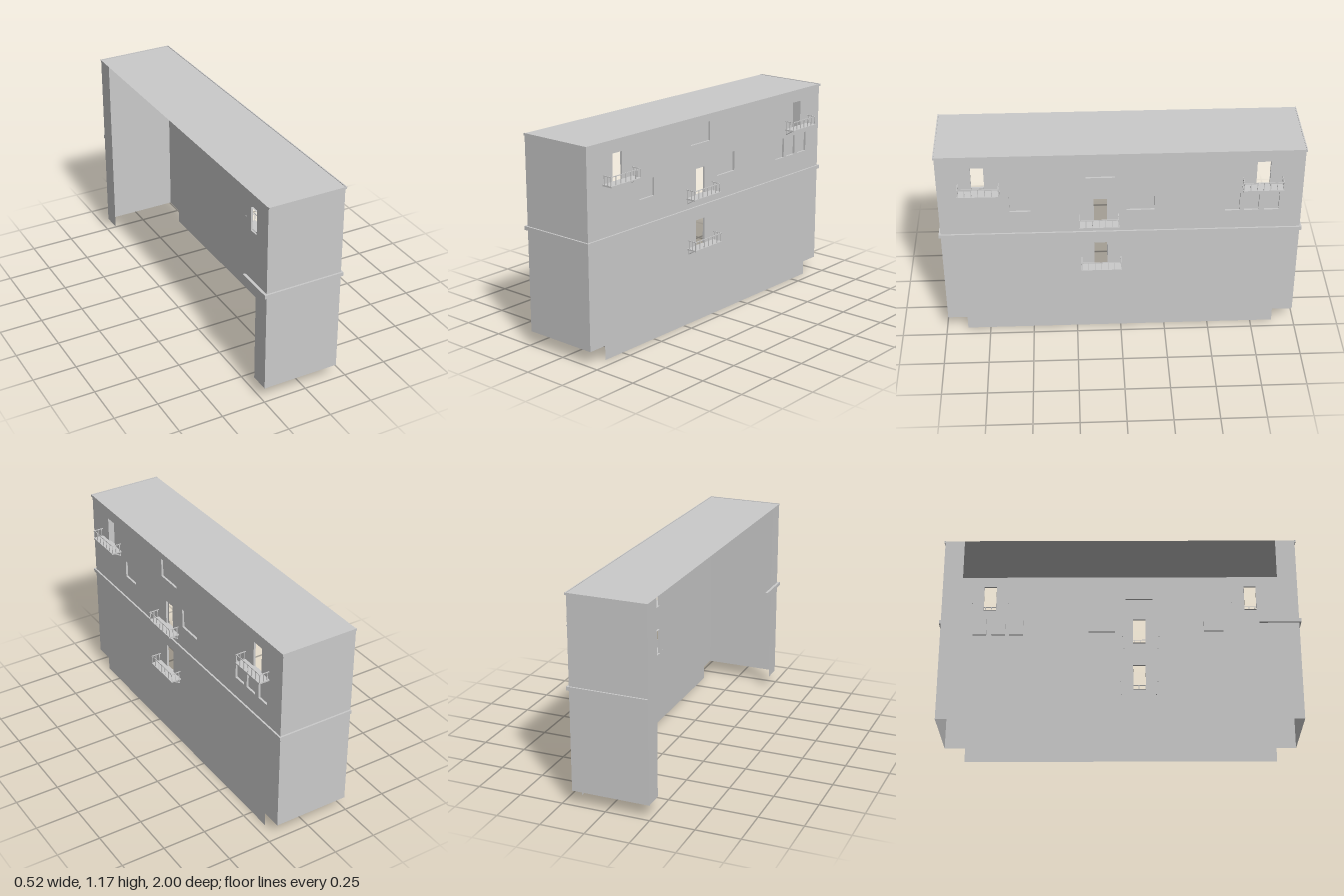
import * as THREE from 'three';

const WALL_X = 0.195, BACK_X = -0.245, END_Z = 0.99, BASE_Y = 0.08, TOP_Y = 1.17;
const mat = new THREE.MeshStandardMaterial({ color: 0xcccccc, side: THREE.DoubleSide, flatShading: true });

function add(parent, name, geometry) {
  const mesh = new THREE.Mesh(geometry, mat);
  mesh.name = name;
  parent.add(mesh);
  return mesh;
}

// Box given by its limits on each axis
function box(parent, name, x0, x1, y0, y1, z0, z1) {
  const mesh = add(parent, name, new THREE.BoxGeometry(x1 - x0, y1 - y0, z1 - z0));
  mesh.position.set((x0 + x1) / 2, (y0 + y1) / 2, (z0 + z1) / 2);
  return mesh;
}

// Thin bar between two points
function bar(parent, name, a, b, t) {
  const p = new THREE.Vector3(...a), q = new THREE.Vector3(...b);
  const mesh = add(parent, name, new THREE.BoxGeometry(t, t, p.distanceTo(q)));
  mesh.position.copy(p).lerp(q, 0.5);
  mesh.lookAt(q);
}

// Openings as [z0, z1, y0, y1]
const doors = [
  [0.733, 0.803, 0.95, 1.1],
  [0.075, 0.147, 0.735, 0.883],
  [0.075, 0.147, 0.44, 0.59],
  [-0.806, -0.733, 0.95, 1.1],
];
const windows = [
  [0.49, 0.605, 0.81, 0.91],
  [0.03, 0.19, 1.02, 1.128],
  [-0.185, -0.03, 0.805, 0.918],
  [-0.65, -0.57, 0.787, 0.902],
  [-0.755, -0.675, 0.787, 0.902],
  [-0.865, -0.785, 0.787, 0.902],
];

function facade(parent) {
  // Outline with notched lower corners; shape x is -z
  const outline = [
    [-END_Z, BASE_Y], [-0.88, BASE_Y], [-0.88, 0], [0.875, 0],
    [0.875, BASE_Y], [END_Z, BASE_Y], [END_Z, TOP_Y], [-END_Z, TOP_Y],
  ];
  const shape = new THREE.Shape(outline.map(([u, y]) => new THREE.Vector2(u, y)));
  for (const [z0, z1, y0, y1] of [...doors, ...windows]) {
    shape.holes.push(new THREE.Path([
      new THREE.Vector2(-z1, y0), new THREE.Vector2(-z1, y1),
      new THREE.Vector2(-z0, y1), new THREE.Vector2(-z0, y0),
    ]));
  }
  add(parent, 'facade', new THREE.ShapeGeometry(shape).rotateY(Math.PI / 2)).position.x = WALL_X;

  // Recesses: boxes without the outer face, doors without the inner face too
  const recess = (name, [z0, z1, y0, y1], skip) => {
    const mesh = box(parent, name, WALL_X - 0.012, WALL_X, y0, y1, z0, z1);
    mesh.geometry.setIndex([...mesh.geometry.index.array].slice(skip));
  };
  doors.forEach((d) => recess('doorReveal', d, 12));
  windows.forEach((w) => recess('windowRecess', w, 6));
}

function shell(parent) {
  const height = TOP_Y - BASE_Y, midY = (TOP_Y + BASE_Y) / 2;
  const width = WALL_X - BACK_X, midX = (WALL_X + BACK_X) / 2;
  for (const s of [1, -1]) {
    const turn = s > 0 ? 0 : Math.PI;
    add(parent, 'endWall', new THREE.PlaneGeometry(width, height).rotateY(turn))
      .position.set(midX, midY, s * END_Z);
    add(parent, 'backReturn', new THREE.PlaneGeometry(0.11, height).rotateY(-Math.PI / 2))
      .position.set(BACK_X, midY, s * (END_Z - 0.055));
  }
  add(parent, 'roof', new THREE.PlaneGeometry(width, 2 * END_Z).rotateX(-Math.PI / 2))
    .position.set(midX, TOP_Y, 0);
}

function trims(parent) {
  // Cornice around the roof edge
  const c0 = 1.16, c1 = 1.173, co = 0.006;
  box(parent, 'cornice', WALL_X, WALL_X + co, c0, c1, -END_Z - co, END_Z + co);
  box(parent, 'cornice', BACK_X, WALL_X, c0, c1, END_Z, END_Z + co);
  box(parent, 'cornice', BACK_X, WALL_X, c0, c1, -END_Z - co, -END_Z);
  // String course at mid height, wrapping one back corner
  const b0 = 0.65, b1 = 0.671;
  box(parent, 'stringCourse', WALL_X, 0.205, b0, b1, -1, 1);
  box(parent, 'stringCourse', -0.26, WALL_X, b0, b1, END_Z, 1);
  box(parent, 'stringCourse', BACK_X, WALL_X, b0, b1, -1, -END_Z);
  box(parent, 'stringCourse', -0.26, BACK_X, b0, b1, 0.77, END_Z);
}

function balcony(parent, z0, z1, y, bracketZs) {
  const g = new THREE.Group();
  g.name = 'balcony';
  parent.add(g);
  const outer = 0.252, rail = y + 0.05, t = 0.004;
  box(g, 'balconyFloor', WALL_X, 0.257, y - 0.005, y + 0.003, z0, z1);
  // Handrails
  const zs = [z0 + 0.003, z1 - 0.003];
  bar(g, 'frontRail', [outer, rail, z0], [outer, rail, z1], t);
  for (const z of zs) {
    bar(g, 'sideRail', [WALL_X - 0.004, rail, z], [0.257, rail, z], t);
    for (const x of [0.206, 0.229]) bar(g, 'sidePost', [x, y, z], [x, rail, z], t);
  }
  // Front posts
  for (let i = 0; i < 7; i++) {
    const z = THREE.MathUtils.lerp(zs[0], zs[1], i / 6);
    bar(g, 'frontPost', [outer, y, z], [outer, rail, z], t);
  }
  // Triangular brackets
  for (const z of bracketZs) {
    bar(g, 'bracket', [WALL_X + 0.002, y - 0.033, z], [WALL_X + 0.002, y, z], 0.005);
    bar(g, 'bracket', [WALL_X, y - 0.031, z], [0.242, y - 0.003, z], 0.005);
  }
}

export function createModel() {
  const model = new THREE.Group();
  model.name = 'building';
  facade(model);
  shell(model);
  trims(model);
  balcony(model, 0.653, 0.878, 0.951, [0.666]);
  balcony(model, 0.01, 0.23, 0.732, [0.022, 0.219]);
  balcony(model, -0.004, 0.22, 0.441, [0.007, 0.208]);
  balcony(model, -0.878, -0.658, 0.951, [-0.67]);
  return model;
}
